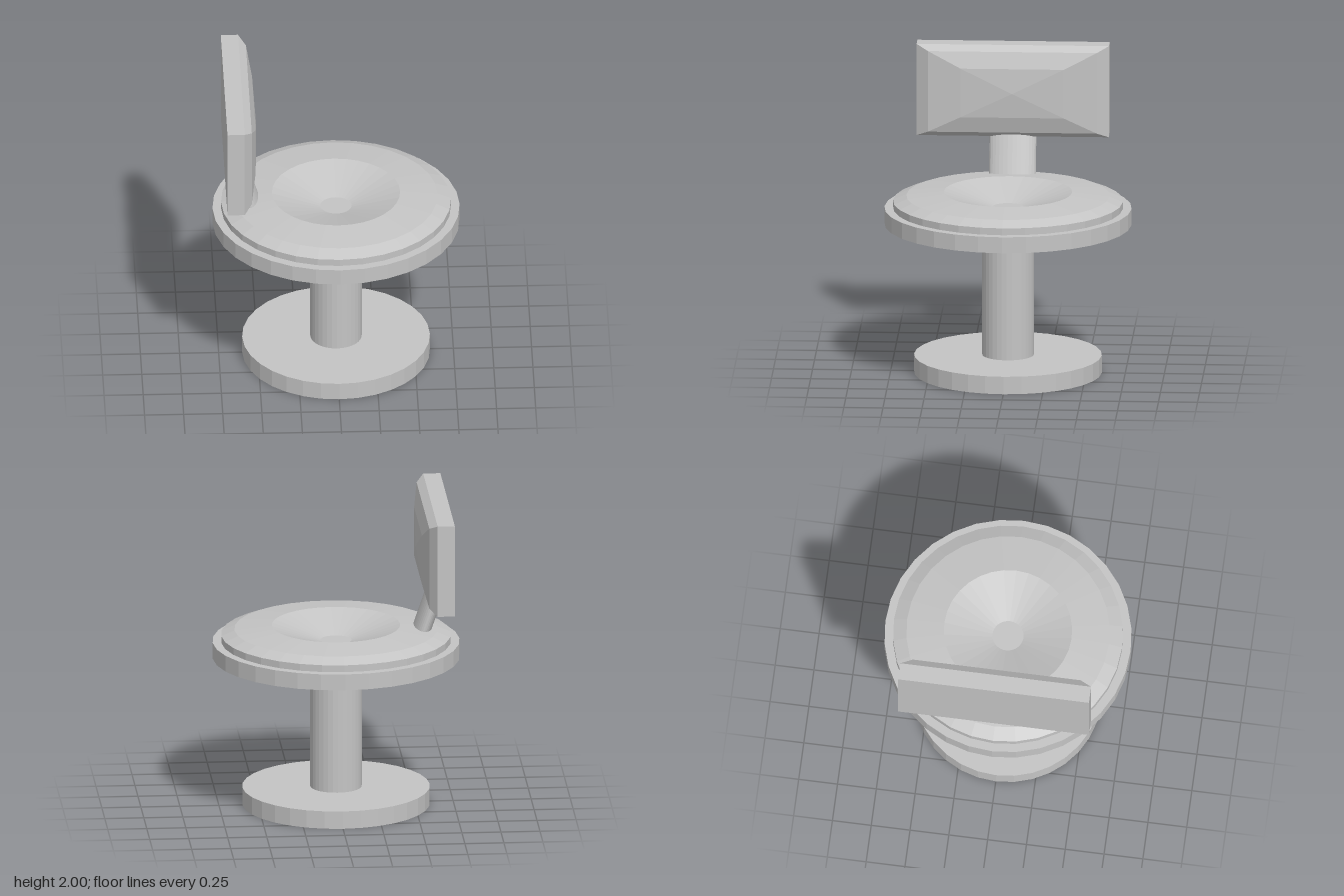
import * as THREE from 'three';

const SIDES = 32;
const grey = new THREE.MeshStandardMaterial({ color: 0xc4c4c4 });
grey.name = 'light grey';

// Faceted mesh: every face gets its own normal
function part(name, geometry) {
  const flat = geometry.index ? geometry.toNonIndexed() : geometry;
  flat.computeVertexNormals();
  const mesh = new THREE.Mesh(flat, grey);
  mesh.name = name;
  return mesh;
}

// Upright round part between two heights
function disc(name, radius, y0, y1) {
  const g = new THREE.CylinderGeometry(radius, radius, y1 - y0, SIDES);
  return part(name, g.translate(0, (y0 + y1) / 2, 0));
}

// Padded panel facing +x, made of shrinking rectangles [x, halfHeight, halfWidth] up to an apex
function paddedPanel(rings, apexX, centreY) {
  const corners = [[-1, 1], [-1, -1], [1, -1], [1, 1]];
  const loops = rings.map(([x, h, w]) => corners.map(([sy, sz]) => [x, centreY + sy * h, sz * w]));
  const apex = [apexX, centreY, 0];
  const pos = [];
  loops.forEach((loop, r) => {
    const next = loops[r + 1];
    for (let i = 0; i < 4; i++) {
      const j = (i + 1) % 4;
      if (next) pos.push(...loop[i], ...loop[j], ...next[j], ...loop[i], ...next[j], ...next[i]);
      else pos.push(...loop[i], ...loop[j], ...apex);
    }
  });
  const g = new THREE.BufferGeometry();
  g.setAttribute('position', new THREE.Float32BufferAttribute(pos, 3));
  return g;
}

export function createModel() {
  const stool = new THREE.Group();
  stool.name = 'stool';

  // Foot, post and seat plate
  stool.add(disc('base', 0.6, 0, 0.115));
  stool.add(disc('post', 0.165, 0.115, 0.975));
  stool.add(disc('seatPlate', 0.79, 0.975, 1.08));

  // Dished seat cushion
  const profile = [[0.735, 1.08], [0.735, 1.125], [0.65, 1.16], [0.41, 1.185], [0.1, 1.085], [0, 1.085]];
  stool.add(part('seatCushion',
    new THREE.LatheGeometry(profile.map(([x, y]) => new THREE.Vector2(x, y)), SIDES)));

  // Leaning oval arm that carries the backrest
  const foot = new THREE.Vector3(-0.535, 1.11, 0);
  const head = new THREE.Vector3(-0.649, 1.44, 0);
  const lean = Math.atan2(foot.x - head.x, head.y - foot.y);
  const arm = new THREE.CylinderGeometry(1, 1, foot.distanceTo(head), SIDES)
    .scale(0.057, 1, 0.15)
    .rotateZ(lean)
    .translate((foot.x + head.x) / 2, (foot.y + head.y) / 2, 0);
  stool.add(part('backArm', arm));

  // Backrest board with its padding
  const backrest = new THREE.Group();
  backrest.name = 'backrest';
  backrest.add(part('backBoard', new THREE.BoxGeometry(0.11, 0.6, 1.23).translate(-0.66, 1.7, 0)));
  backrest.add(part('backPadding', paddedPanel(
    [[-0.605, 0.3, 0.615], [-0.557, 0.265, 0.54], [-0.525, 0.16, 0.33]], -0.51, 1.7)));
  stool.add(backrest);

  return stool;
}
